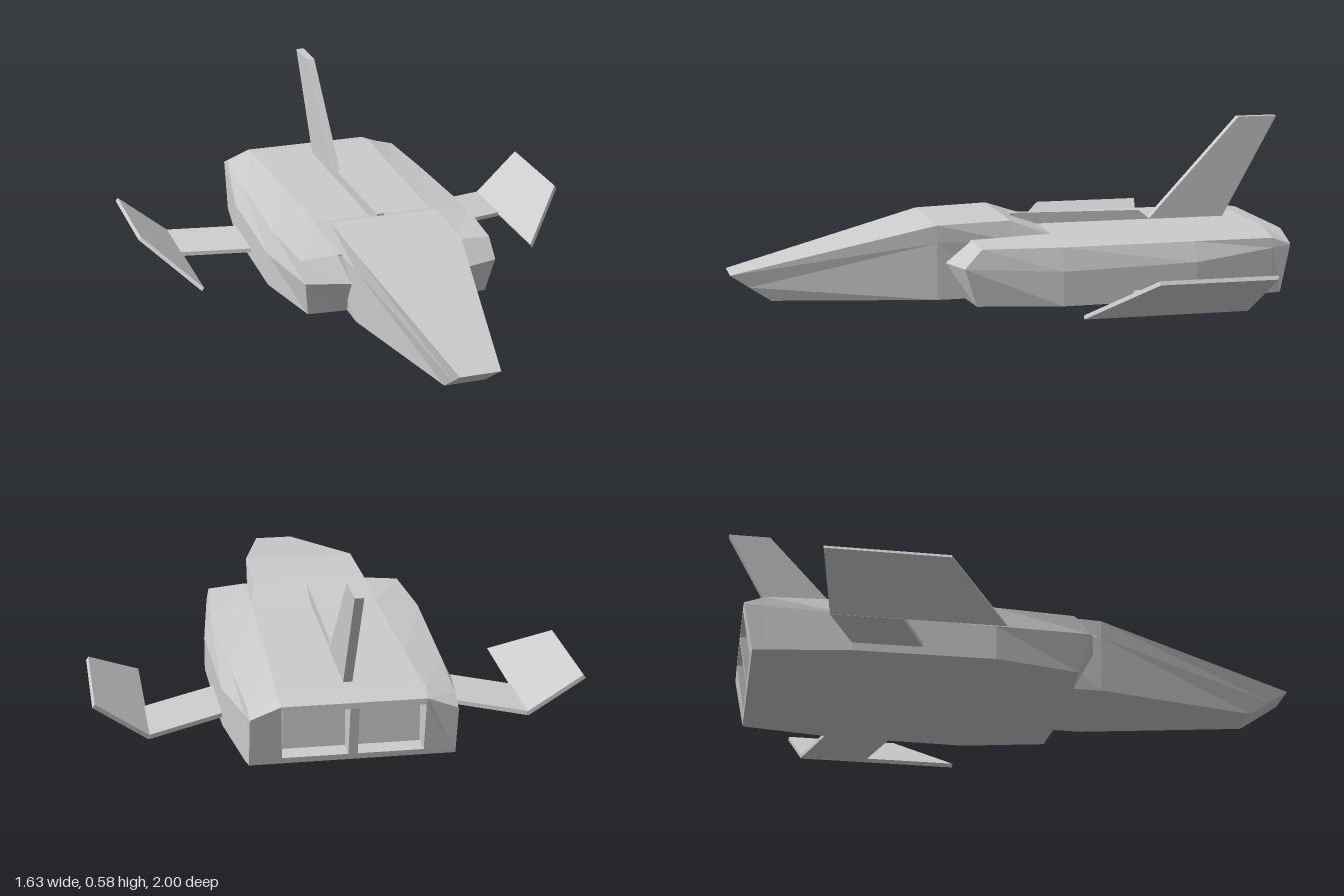
import * as THREE from 'three';

const material = new THREE.MeshStandardMaterial({ color: 0xcccccc, flatShading: true });

// Joins loops of [x, y, z] points; loops run counter-clockwise seen from the last loop's side.
function loft(name, loops, capStart = true, capEnd = true) {
  const pos = [];
  const tri = (...pts) => pts.forEach((p) => pos.push(...p));
  const n = loops[0].length;
  for (let i = 0; i < loops.length - 1; i++) {
    for (let j = 0; j < n; j++) {
      const k = (j + 1) % n;
      const [a, b, c, d] = [loops[i][j], loops[i][k], loops[i + 1][k], loops[i + 1][j]];
      tri(a, b, c);
      tri(a, c, d);
    }
  }
  const first = loops[0], last = loops[loops.length - 1];
  for (let j = 1; j < n - 1; j++) {
    if (capStart) tri(first[0], first[j + 1], first[j]);
    if (capEnd) tri(last[0], last[j], last[j + 1]);
  }
  const geometry = new THREE.BufferGeometry();
  geometry.setAttribute('position', new THREE.Float32BufferAttribute(pos, 3));
  geometry.computeVertexNormals();
  const mesh = new THREE.Mesh(geometry, material);
  mesh.name = name;
  return mesh;
}

// Completes a half section (bottom to top on +x) with its mirror image.
const mirrored = (half) => [...half, ...half.map(([x, y, z]) => [-x, y, z]).reverse()];

// Upright slab from a side profile of [z, y] points.
const slab = (name, profile, halfWidth) =>
  loft(name, [-halfWidth, halfWidth].map((x) => profile.map(([z, y]) => [x, y, z])));

// Thin panel from its lower corners and a thickness vector, on side s.
function panel(name, corners, offset, s) {
  const loops = [0, 1].map((t) => {
    const loop = corners.map((p) => [s * (p[0] + t * offset[0]), p[1] + t * offset[1], p[2]]);
    return s < 0 ? loop.reverse() : loop;
  });
  return loft(name, loops);
}

export function createModel() {
  const model = new THREE.Group();
  model.name = 'spacecraft';

  // Wide hull: bottom, shoulder, upper edge and roof edge at each station
  const rear = [[0.335, 0, -0.905], [0.335, 0.168, -0.94], [0.333, 0.172, -0.94], [0.235, 0.21, -0.94]];
  const hull = [
    rear,
    [[0.343, 0, -0.87], [0.343, 0.16, -0.87], [0.338, 0.195, -0.87], [0.24, 0.222, -0.87]],
    [[0.385, 0, -0.58], [0.385, 0.13, -0.58], [0.353, 0.198, -0.58], [0.23, 0.222, -0.58]],
    [[0.393, 0, -0.1], [0.393, 0.12, -0.1], [0.37, 0.2, -0.1], [0.22, 0.222, -0.1]],
    [[0.33, 0, 0.19], [0.35, 0.135, 0.235], [0.348, 0.2, 0.175], [0.22, 0.208, 0.185]],
    [[0.19, 0, 0.2], [0.195, 0.13, 0.27], [0.22, 0.208, 0.185], [0.22, 0.208, 0.185]],
  ];
  model.add(loft('hull', hull.map(mirrored), false, true));

  // Tapered nose and cabin
  const nose = [
    [[0.19, 0, -0.1], [0.225, 0.212, -0.1], [0.22, 0.222, -0.1]],
    [[0.19, 0, 0.04], [0.215, 0.2, 0.04], [0.198, 0.27, 0.04]],
    [[0.19, 0, 0.3], [0.193, 0.2, 0.3], [0.195, 0.262, 0.3]],
    [[0.07, 0, 0.86], [0.07, 0.05, 0.934], [0.07, 0.095, 1]],
  ];
  model.add(loft('nose', nose.map(mirrored)));

  // Tail plate with two engine openings, leaning with the hull's rear edge
  const rearZ = (y) => Math.max(-0.94, -0.905 - 0.206 * y);
  const plate = new THREE.Shape(mirrored(rear).map(([x, y]) => new THREE.Vector2(x, y)));
  const bays = [-1, 1].map((s) => {
    const [x0, x1] = s < 0 ? [-0.23, -0.015] : [0.015, 0.23];
    return [[x0, 0.02], [x0, 0.19], [x1, 0.19], [x1, 0.02]]; // clockwise: walls face inward
  });
  bays.forEach((b) => plate.holes.push(new THREE.Path(b.map(([x, y]) => new THREE.Vector2(x, y)))));
  const plateGeometry = new THREE.ShapeGeometry(plate).rotateY(Math.PI);
  const p = plateGeometry.attributes.position;
  for (let i = 0; i < p.count; i++) p.setZ(i, rearZ(p.getY(i)));
  plateGeometry.computeVertexNormals();
  const tailPlate = new THREE.Mesh(plateGeometry, material);
  tailPlate.name = 'tailPlate';
  model.add(tailPlate);
  bays.forEach((b) => model.add(loft('engineBay', [
    b.map(([x, y]) => [x, y, rearZ(y)]),
    b.map(([x, y]) => [x, y, -0.84]),
  ], false, true)));

  // Spine and tail fin
  model.add(slab('spine', [[0, 0.2], [-0.52, 0.2], [-0.52, 0.224], [-0.48, 0.256], [0, 0.264]], 0.013));
  model.add(slab('tailFin', [[-0.497, 0.2], [-0.786, 0.2], [-1, 0.585], [-0.855, 0.585]], 0.015));

  // Wings with raised outer panels
  for (const s of [-1, 1]) {
    const wing = new THREE.Group();
    wing.name = s > 0 ? 'leftWing' : 'rightWing';
    wing.add(panel('innerWing', [
      [0.37, 0.029, -0.341], [0.632, 0.008, -0.44], [0.632, 0.008, -0.675], [0.37, 0.029, -0.576],
    ], [0, 0.015], s));
    wing.add(panel('outerWing', [
      [0.636, 0.007, -0.105], [0.816, 0.148, -0.31], [0.816, 0.148, -0.715], [0.636, 0.007, -0.675],
    ], [-0.008, 0.012], s));
    model.add(wing);
  }
  return model;
}
